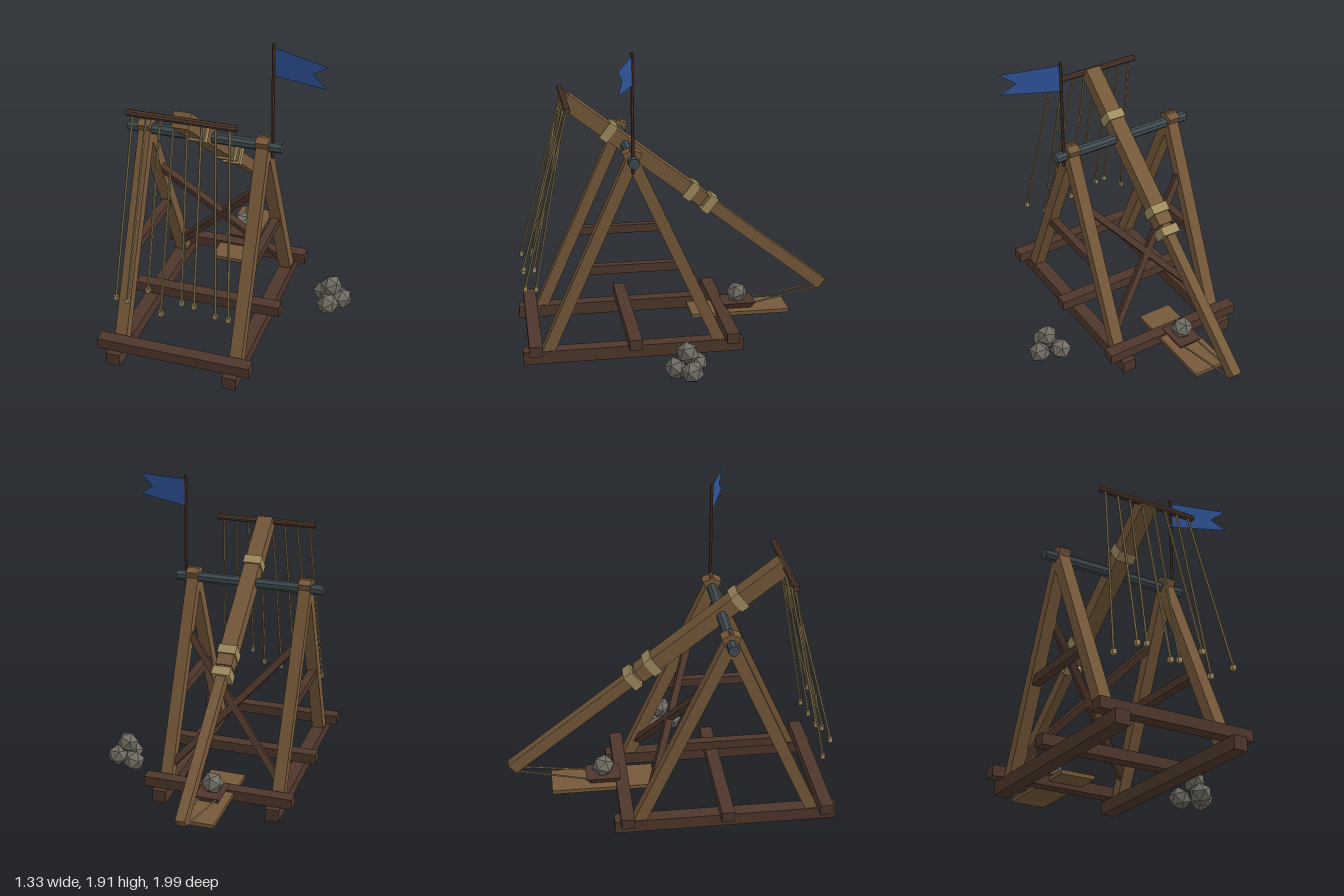
import * as THREE from 'three';

const V = (x, y, z) => new THREE.Vector3(x, y, z);
const paint = (name, color, extra = {}) => {
  const m = new THREE.MeshStandardMaterial({ color, flatShading: true, ...extra });
  m.name = name;
  return m;
};

export function createModel() {
  const wood = paint('oak', 0x76593a);
  const dark = paint('dark timber', 0x4e372b);
  const iron = paint('iron', 0x3f4b50);
  const rope = paint('rope', 0x8f7e56);
  const strap = paint('binding', 0xa08c60);
  const stone = paint('stone', 0x716d64);
  const cloth = paint('flag cloth', 0x2f559b, { side: THREE.DoubleSide });

  const root = new THREE.Group();
  root.name = 'siegeEngine';
  const CX = -0.198, AZ = 0.317, AY = 1.262; // centre plane and axle position

  const add = (name, geo, mat, p = V(0, 0, 0)) => {
    const m = new THREE.Mesh(geo, mat);
    m.name = name;
    m.position.copy(p);
    root.add(m);
    return m;
  };
  const box = (name, w, h, d, mat, x, y, z) => add(name, new THREE.BoxGeometry(w, h, d), mat, V(x, y, z));
  // Rectangular beam running from a to b
  const beam = (name, a, b, w, h, mat, up = V(0, 1, 0)) => {
    const m = add(name, new THREE.BoxGeometry(w, h, a.distanceTo(b)), mat, a.clone().lerp(b, 0.5));
    m.up.copy(up);
    m.lookAt(b);
    return m;
  };
  // Round rod running from a to b
  const rod = (name, a, b, r, mat, sides = 8) => {
    const m = add(name, new THREE.CylinderGeometry(r, r, a.distanceTo(b), sides), mat, a.clone().lerp(b, 0.5));
    m.quaternion.setFromUnitVectors(V(0, 1, 0), b.clone().sub(a).normalize());
    return m;
  };

  // Base frame
  const slope = 0.447;
  const legZ = (y, s) => AZ + s * slope * (AY - y);
  for (const z of [0.925, AZ, -0.29]) box('crossBeam', 0.95, 0.066, 0.08, dark, CX, 0.112, z);
  for (const s of [-1, 1]) {
    const x = CX + s * 0.363;
    box('skid', 0.086, 0.08, 1.366, dark, x, 0.04, AZ);
    // A-frame legs, crossing at the axle
    for (const f of [-1, 1]) {
      beam('leg', V(x, 0.06, legZ(0.06, f)), V(x, 1.317, legZ(1.317, f)), 0.075, 0.073, wood);
    }
    box('sideBrace', 0.05, 0.054, 0.6, dark, x, 0.583, AZ);
    // Diagonal brace lying in the plane of the rear legs
    beam('diagonalBrace', V(CX - s * 0.35, 0.165, legZ(0.165, -1) + 0.014),
      V(CX + s * 0.35, 0.935, legZ(0.935, -1) + 0.014), 0.042, 0.042, dark, V(0, slope, -1).normalize().cross(V(1, 0, 0)).normalize());
  }
  const axle = rod('axle', V(CX - 0.475, AY, AZ), V(CX + 0.475, AY, AZ), 0.033, iron);
  axle.rotateY(Math.PI / 8);

  // Throwing arm: thick butt, thin tail, bindings
  const head = V(CX, 1.556, 0.685), tail = V(CX, 0.257, -0.97);
  const along = t => head.clone().lerp(tail, t);
  beam('armButt', along(0), along(0.52), 0.1, 0.095, wood);
  beam('armTail', along(0.45), along(1), 0.06, 0.077, wood);
  for (const t of [0.16, 0.471, 0.542]) {
    beam('armBinding', along(t - 0.0135), along(t + 0.0135), 0.114, 0.118, strap);
  }

  // Pulling bar and ropes
  rod('pullBar', V(CX - 0.323, 1.555, 0.687), V(CX + 0.323, 1.555, 0.687), 0.02, dark);
  for (let i = 0; i < 8; i++) {
    const k = i - 3.5;
    const end = V(CX + k * 0.1025, 0.445 + (i % 3) * 0.048, i % 2 ? 0.97 : 0.902);
    rod('pullRope', V(CX + k * 0.081, 1.545, 0.69), end, 0.0075, rope, 5);
    box('ropeKnot', 0.025, 0.03, 0.025, strap, end.x, end.y - 0.012, end.z);
  }

  // Sling trough, pouch and cords
  box('trough', 0.223, 0.025, 0.64, wood, CX, 0.12, -0.41);
  const pouch = new THREE.CylinderGeometry(0.107 * Math.SQRT2, 0.08 * Math.SQRT2, 0.04, 4);
  pouch.rotateY(Math.PI / 4);
  pouch.scale(0.77, 1, 1);
  add('pouch', pouch, dark, V(CX, 0.156, -0.408));
  for (const s of [-1, 1]) {
    rod('slingCord', V(CX + s * 0.022, 0.243, -0.955), V(CX + s * 0.055, 0.155, -0.46), 0.006, rope, 5);
  }

  // Shot in the pouch and spare pile
  [[CX, 0.22, -0.405], [0.47, 0.066, -0.02], [0.598, 0.066, 0.024], [0.528, 0.066, 0.112], [0.533, 0.16, 0.042]]
    .forEach(([x, y, z], i) => {
      const m = add('stone', new THREE.IcosahedronGeometry(0.071, 0), stone, V(x, y, z));
      m.rotation.set(i * 0.9 + 0.3, i * 1.3, i * 0.5);
    });

  // Flag pole and swallow-tailed flag
  rod('flagPole', V(0.218, 1.187, AZ), V(0.218, 1.909, AZ), 0.0095, dark, 6);
  const shape = new THREE.Shape([[0, 1.888], [0.358, 1.868], [0.262, 1.8], [0.358, 1.735], [0, 1.715]]
    .map(([x, y]) => new THREE.Vector2(x, y)));
  const flag = add('flag', new THREE.ShapeGeometry(shape), cloth, V(0.222, 0, AZ));
  flag.rotation.y = -Math.atan2(0.118, 0.338);

  return root;
}
